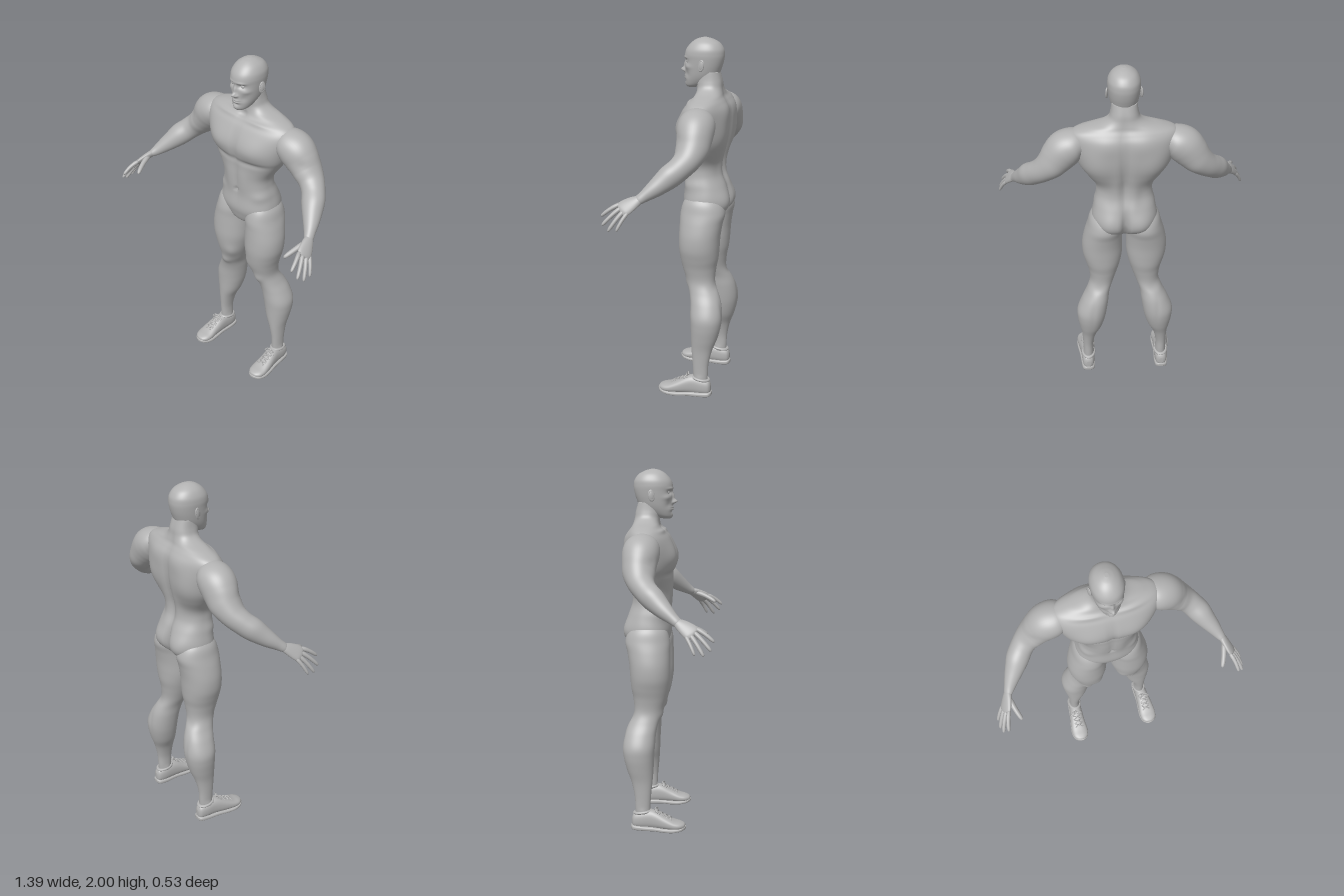
import * as THREE from 'three';

const X = new THREE.Vector3(1, 0, 0), UP = new THREE.Vector3(0, 1, 0), FWD = new THREE.Vector3(0, 0, 1);
const spline = (a, b, c, d, t) =>
  0.5 * (2 * b + (c - a) * t + (2 * a - 5 * b + 4 * c - d) * t * t + (3 * b - a - 3 * c + d) * t ** 3);

// Closed skin through stations [x, y, z, radiusA, radiusB]; radiusA lies along ref.
// With an axis the sections stay square to it, otherwise they follow the path.
function loft(stations, { ref = X, axis, steps = 6, sides = 32, power = 2 } = {}) {
  const last = stations.length - 1, rows = [];
  const at = (i) => stations[Math.min(Math.max(i, 0), last)];
  for (let i = 0; i <= last * steps; i++) {
    const k = Math.min(Math.floor(i / steps), last - 1), t = i / steps - k;
    rows.push([0, 1, 2, 3, 4].map((c) => spline(at(k - 1)[c], at(k)[c], at(k + 1)[c], at(k + 2)[c], t)));
  }
  const pts = rows.map((r) => new THREE.Vector3(r[0], r[1], r[2]));
  const pos = [], index = [], n = rows.length;
  const bend = (v) => Math.sign(v) * Math.abs(v) ** (2 / power);
  rows.forEach((r, i) => {
    const T = axis ? axis.clone() : pts[Math.min(i + 1, n - 1)].clone().sub(pts[Math.max(i - 1, 0)]).normalize();
    const U = ref.clone().addScaledVector(T, -ref.dot(T)).normalize();
    const V = T.clone().cross(U);
    for (let j = 0; j < sides; j++) {
      const a = (j / sides) * Math.PI * 2;
      const p = pts[i].clone()
        .addScaledVector(U, bend(Math.cos(a)) * Math.max(r[3], 0.002))
        .addScaledVector(V, bend(Math.sin(a)) * Math.max(r[4], 0.002));
      pos.push(p.x, p.y, p.z);
      if (i < n - 1) {
        const b = i * sides + j, c = i * sides + (j + 1) % sides;
        index.push(b, c, c + sides, b, c + sides, b + sides);
      }
    }
  });
  pos.push(...pts[0].toArray(), ...pts[n - 1].toArray());
  const start = n * sides, end = start + 1, top = (n - 1) * sides;
  for (let j = 0; j < sides; j++) {
    const k = (j + 1) % sides;
    index.push(start, k, j, end, top + j, top + k);
  }
  const geo = new THREE.BufferGeometry();
  geo.setAttribute('position', new THREE.Float32BufferAttribute(pos, 3));
  geo.setIndex(index);
  geo.computeVertexNormals();
  return geo;
}

// Level sections [y, centreX, halfWidth, front, back], listed upwards
const upright = (rows, opt) =>
  loft(rows.map(([y, x, w, f, b]) => [x, y, (f + b) / 2, w, (f - b) / 2]), { axis: UP, ...opt });
// Sections along a shoe [z, centreX, halfWidth, bottom, top], heel to toe
const along = (rows, opt) =>
  loft(rows.map(([z, x, w, b, t]) => [x, (b + t) / 2, z, w, (t - b) / 2]), { axis: FWD, ...opt });

// Soft muscle bumps and grooves [x, y, z, rx, ry, rz, push], mirrored in x
function sculpt(geo, bumps) {
  const p = geo.attributes.position, nrm = geo.attributes.normal;
  const all = bumps.flatMap((b) => (b[0] ? [b, [-b[0], ...b.slice(1)]] : [b]));
  for (let i = 0; i < p.count; i++) {
    const x = p.getX(i), y = p.getY(i), z = p.getZ(i);
    let d = 0;
    for (const b of all) {
      d += b[6] * Math.exp(-(((x - b[0]) / b[3]) ** 2) - ((y - b[1]) / b[4]) ** 2 - ((z - b[2]) / b[5]) ** 2);
    }
    p.setXYZ(i, x + nrm.getX(i) * d, y + nrm.getY(i) * d, z + nrm.getZ(i) * d);
  }
  geo.computeVertexNormals();
  return geo;
}

function mirrored(geo) {
  const g = geo.clone().scale(-1, 1, 1), a = g.index.array;
  for (let i = 0; i < a.length; i += 3) [a[i], a[i + 1]] = [a[i + 1], a[i]];
  g.computeVertexNormals();
  return g;
}

export function createModel() {
  const model = new THREE.Group();
  const grey = new THREE.MeshStandardMaterial({ color: 0xb2b2b2 });
  grey.name = 'plain grey';
  const add = (name, geo) => {
    const m = new THREE.Mesh(geo, grey);
    m.name = name;
    model.add(m);
  };
  const pair = (name, geo) => {
    add(name + 'Left', geo);
    add(name + 'Right', mirrored(geo));
  };

  // Torso and neck
  const torso = upright([
    [0.99, 0, 0.03, -0.07, -0.14], [1.02, 0, 0.09, -0.03, -0.19], [1.07, 0, 0.155, -0.01, -0.23],
    [1.12, 0, 0.178, 0, -0.242], [1.2, 0, 0.165, -0.006, -0.235], [1.27, 0, 0.152, -0.003, -0.212],
    [1.33, 0, 0.158, 0, -0.212], [1.4, 0, 0.202, 0.003, -0.23], [1.46, 0, 0.24, 0.012, -0.243],
    [1.52, 0, 0.262, 0.016, -0.25], [1.58, 0, 0.28, 0.008, -0.25], [1.63, 0, 0.285, -0.012, -0.243],
    [1.665, 0, 0.265, -0.04, -0.228], [1.69, 0, 0.2, -0.06, -0.215], [1.71, 0, 0.125, -0.066, -0.21],
    [1.735, 0, 0.085, -0.066, -0.205], [1.77, 0, 0.072, -0.062, -0.2], [1.82, 0, 0.066, -0.07, -0.185],
  ], { power: 2.35, sides: 96, steps: 7 });
  add('torso', sculpt(torso, [
    [0.11, 1.52, 0.01, 0.1, 0.065, 0.08, 0.02],       // chest
    [0, 1.53, 0.02, 0.016, 0.09, 0.06, -0.01],
    [0.11, 1.435, 0, 0.1, 0.018, 0.07, -0.009],
    [0.1, 1.665, -0.06, 0.08, 0.01, 0.04, 0.008],     // collarbones
    [0, 1.685, -0.06, 0.02, 0.018, 0.03, -0.012],
    [0.05, 1.31, 0, 0.032, 0.11, 0.05, 0.006],        // belly
    [0, 1.32, 0, 0.01, 0.11, 0.05, -0.005],
    [0, 1.235, 0, 0.01, 0.01, 0.03, -0.012],
    [0.13, 1.21, -0.06, 0.04, 0.03, 0.06, 0.008],
    [0.15, 1.48, -0.24, 0.085, 0.11, 0.07, 0.016],    // back
    [0.09, 1.62, -0.24, 0.07, 0.06, 0.06, 0.01],
    [0.05, 1.3, -0.21, 0.03, 0.09, 0.05, 0.008],
    [0, 1.42, -0.23, 0.022, 0.24, 0.08, -0.018],
    [0.085, 1.11, -0.24, 0.07, 0.075, 0.08, 0.03],    // buttocks
    [0, 1.1, -0.24, 0.016, 0.08, 0.08, -0.035],
  ]));

  // Head with modelled face
  const head = upright([
    [1.732, 0, 0.026, -0.008, -0.06], [1.745, 0, 0.044, -0.002, -0.1], [1.77, 0, 0.059, 0.002, -0.145],
    [1.8, 0, 0.07, 0.004, -0.178], [1.84, 0, 0.078, 0.003, -0.196], [1.88, 0, 0.083, 0.003, -0.207],
    [1.91, 0, 0.085, 0.005, -0.21], [1.94, 0, 0.081, -0.005, -0.205], [1.97, 0, 0.064, -0.03, -0.183],
    [1.99, 0, 0.037, -0.06, -0.147], [1.999, 0, 0.01, -0.092, -0.115],
  ], { power: 2.15, sides: 128, steps: 12 });
  add('head', sculpt(head, [
    [0, 1.823, 0.005, 0.011, 0.012, 0.03, 0.024],     // nose
    [0, 1.85, 0.005, 0.009, 0.026, 0.03, 0.012],
    [0.013, 1.818, 0.005, 0.007, 0.007, 0.03, 0.008],
    [0.034, 1.873, 0, 0.02, 0.012, 0.03, -0.013],     // eye sockets and brow
    [0.032, 1.893, 0, 0.028, 0.008, 0.03, 0.005],
    [0.055, 1.845, -0.02, 0.02, 0.014, 0.03, 0.005],  // cheeks
    [0.045, 1.805, -0.01, 0.018, 0.02, 0.03, -0.005],
    [0, 1.786, 0.005, 0.022, 0.011, 0.03, 0.009],     // lips
    [0, 1.787, 0.005, 0.022, 0.003, 0.03, -0.006],
    [0, 1.768, 0, 0.02, 0.007, 0.03, -0.005],
    [0, 1.748, 0, 0.02, 0.014, 0.03, 0.007],
  ]));
  pair('eye', new THREE.SphereGeometry(0.012, 20, 14).translate(0.034, 1.873, -0.022));

  // Ears: a shell with a raised rim
  const place = (g) => g.rotateY(Math.PI / 2 - 0.3).rotateX(-0.15).translate(0.088, 1.857, -0.105);
  pair('ear', place(new THREE.SphereGeometry(1, 20, 14).scale(0.016, 0.027, 0.007)));
  pair('earRim', place(new THREE.TorusGeometry(0.014, 0.0045, 8, 28).scale(1, 1.75, 1)));

  // Arms
  const arm = loft([
    [0.2, 1.6, -0.135, 0.055, 0.05], [0.255, 1.59, -0.136, 0.092, 0.08], [0.305, 1.562, -0.139, 0.099, 0.098],
    [0.345, 1.52, -0.142, 0.092, 0.094], [0.385, 1.472, -0.142, 0.079, 0.08], [0.428, 1.428, -0.13, 0.069, 0.067],
    [0.468, 1.39, -0.1, 0.062, 0.063], [0.505, 1.35, -0.055, 0.06, 0.06], [0.548, 1.302, 0.002, 0.046, 0.046],
    [0.58, 1.265, 0.05, 0.031, 0.031], [0.598, 1.246, 0.078, 0.025, 0.021], [0.604, 1.24, 0.088, 0.015, 0.012],
  ], { ref: FWD, sides: 48, steps: 8 });
  pair('arm', sculpt(arm, [
    [0.39, 1.46, -0.06, 0.05, 0.05, 0.05, 0.01],
    [0.37, 1.45, -0.22, 0.06, 0.06, 0.05, 0.008],
    [0.4, 1.53, -0.1, 0.025, 0.025, 0.08, -0.005],
    [0.53, 1.38, -0.06, 0.04, 0.04, 0.05, 0.006],
  ]));

  // Hands
  const spread = new THREE.Vector3(-0.36, 0.48, 0.8);
  pair('palm', loft([
    [0.594, 1.251, 0.07, 0.02, 0.016], [0.6, 1.245, 0.08, 0.027, 0.019], [0.613, 1.23, 0.107, 0.037, 0.018],
    [0.63, 1.207, 0.143, 0.044, 0.016], [0.638, 1.196, 0.157, 0.036, 0.012], [0.641, 1.192, 0.163, 0.015, 0.005],
  ], { ref: spread, sides: 28 }));
  const tips = [[0.645, 1.16, 0.262], [0.675, 1.12, 0.248], [0.688, 1.095, 0.212], [0.69, 1.1, 0.167]];
  const finger = (from, to, r) => {
    const a = new THREE.Vector3(...from), b = new THREE.Vector3(...to);
    const row = ([t, s]) => [...a.clone().lerp(b, t).add(new THREE.Vector3(0.3, 0.5, 0).multiplyScalar(0.05 * t * (1 - t))).toArray(), r * s, r * s];
    return loft([[0, 0.9], [0.2, 1.1], [0.45, 1], [0.65, 0.95], [0.85, 0.85], [0.96, 0.6], [1, 0.15]].map(row),
      { ref: spread, sides: 14, steps: 4 });
  };
  tips.forEach((tip, i) => {
    const s = 0.033 - i * 0.022;
    const base = [0.63 - 0.36 * s, 1.205 + 0.48 * s, 0.146 + 0.8 * s];
    pair('finger' + (i + 1), finger(base, tip, i === 3 ? 0.0095 : 0.011));
  });
  pair('thumb', finger([0.6, 1.238, 0.105], [0.56, 1.185, 0.225], 0.014));

  // Legs
  const leg = upright([
    [0.07, 0.217, 0.028, -0.105, -0.185], [0.13, 0.217, 0.029, -0.104, -0.188], [0.2, 0.217, 0.031, -0.1, -0.192],
    [0.28, 0.21, 0.043, -0.092, -0.21], [0.35, 0.2, 0.065, -0.087, -0.236], [0.42, 0.195, 0.08, -0.084, -0.254],
    [0.48, 0.189, 0.085, -0.08, -0.259], [0.55, 0.17, 0.076, -0.075, -0.248], [0.61, 0.15, 0.065, -0.062, -0.226],
    [0.67, 0.129, 0.067, -0.042, -0.202], [0.74, 0.121, 0.083, -0.018, -0.206], [0.8, 0.121, 0.099, -0.005, -0.217],
    [0.86, 0.123, 0.111, 0.002, -0.222], [0.93, 0.123, 0.112, 0.002, -0.227], [1, 0.117, 0.105, 0, -0.238],
    [1.06, 0.108, 0.097, -0.002, -0.25], [1.12, 0.105, 0.083, -0.02, -0.23], [1.17, 0.1, 0.05, -0.06, -0.18],
  ], { power: 2.1, sides: 56, steps: 7 });
  pair('leg', sculpt(leg, [
    [0.132, 0.65, -0.05, 0.03, 0.032, 0.03, 0.009],   // kneecap
    [0.07, 0.75, -0.04, 0.03, 0.045, 0.05, 0.008],    // inner thigh
    [0.16, 0.64, -0.22, 0.04, 0.03, 0.04, -0.006],
    [0.185, 0.5, -0.26, 0.012, 0.08, 0.03, -0.004],   // calf
    [0.217, 0.11, -0.145, 0.05, 0.018, 0.02, 0.006],  // ankle
  ]));

  // Shoes
  pair('shoeUpper', along([
    [-0.207, 0.22, 0.012, 0.035, 0.075], [-0.195, 0.22, 0.029, 0.018, 0.098], [-0.16, 0.22, 0.037, 0.013, 0.112],
    [-0.11, 0.222, 0.039, 0.013, 0.122], [-0.07, 0.225, 0.042, 0.013, 0.115], [-0.02, 0.229, 0.047, 0.013, 0.091],
    [0.03, 0.23, 0.051, 0.014, 0.068], [0.065, 0.23, 0.045, 0.018, 0.058], [0.086, 0.229, 0.028, 0.022, 0.05],
    [0.093, 0.228, 0.01, 0.028, 0.042],
  ], { power: 2.4, sides: 36 }));
  pair('shoeSole', along([
    [-0.212, 0.22, 0.014, 0.014, 0.032], [-0.198, 0.22, 0.034, 0.005, 0.034], [-0.15, 0.221, 0.041, 0.002, 0.032],
    [-0.08, 0.226, 0.043, 0.003, 0.03], [-0.02, 0.229, 0.05, 0, 0.027], [0.03, 0.23, 0.054, 0.002, 0.028],
    [0.07, 0.23, 0.045, 0.009, 0.032], [0.09, 0.229, 0.027, 0.016, 0.036], [0.098, 0.228, 0.008, 0.022, 0.034],
  ], { power: 3.2, sides: 36 }));
  pair('shoeCollar', new THREE.TorusGeometry(0.035, 0.008, 10, 36).rotateX(Math.PI / 2)
    .scale(0.95, 1, 1.3).rotateX(-0.15).translate(0.218, 0.108, -0.147));

  // Laces criss-crossing the instep, with a bow
  const cord = (points) => new THREE.TubeGeometry(
    new THREE.CatmullRomCurve3(points.map((p) => new THREE.Vector3(...p))), 12, 0.0035, 6);
  for (let i = 0; i < 4; i++) {
    const z = -0.078 + i * 0.024, y = 0.122 - i * 0.0115;
    for (const s of [-1, 1]) {
      pair('lace', cord([[0.227 - s * 0.024, y - 0.008, z], [0.227, y - 0.002, z + 0.012], [0.227 + s * 0.024, y - 0.018, z + 0.022]]));
    }
  }
  for (const s of [-1, 1]) {
    pair('laceBow', cord([[0.226, 0.122, -0.078], [0.226 + s * 0.02, 0.13, -0.072], [0.226 + s * 0.036, 0.114, -0.062],
      [0.226 + s * 0.022, 0.118, -0.06], [0.226, 0.12, -0.072]]));
  }
  return model;
}
